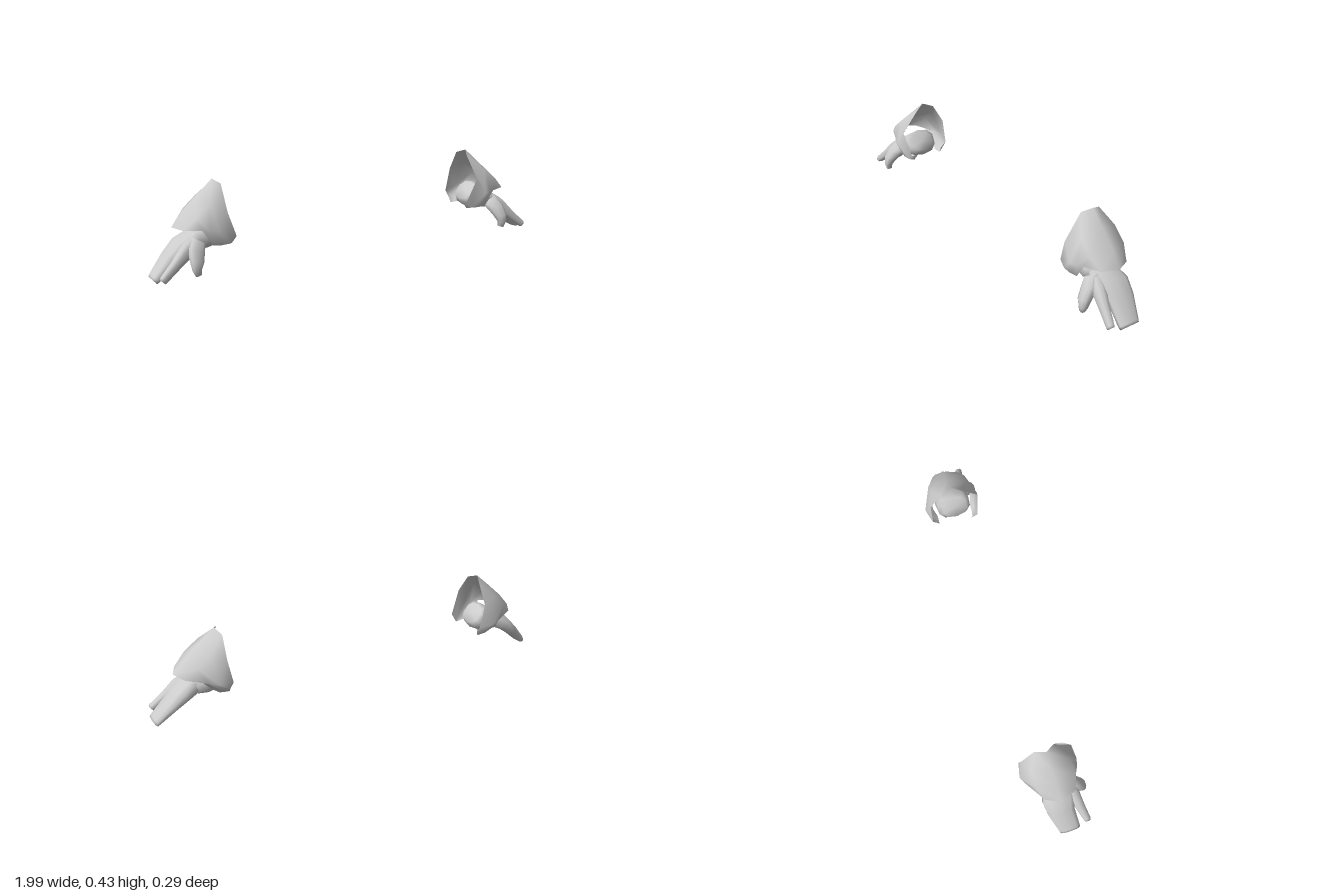
import * as THREE from 'three';

const skin = new THREE.MeshStandardMaterial({ color: 0xcccccc });
const shell = new THREE.MeshStandardMaterial({ color: 0xcccccc, side: THREE.DoubleSide });
const SIDES = 10;

// Smooth mesh; side = -1 mirrors it across x and flips the winding
function makeMesh(name, points, index, side, material) {
  const geo = new THREE.BufferGeometry();
  geo.setAttribute('position', new THREE.Float32BufferAttribute(points.flatMap(([x, y, z]) => [x * side, y, z]), 3));
  const tris = index.slice();
  if (side < 0) for (let i = 0; i < tris.length; i += 3) [tris[i + 1], tris[i + 2]] = [tris[i + 2], tris[i + 1]];
  geo.setIndex(tris);
  geo.computeVertexNormals();
  const mesh = new THREE.Mesh(geo, material);
  mesh.name = name;
  return mesh;
}

// Capped loft; each section is [x, y, z, half thickness, half width along z]
function loft(name, sections, side) {
  const points = [], index = [], last = sections.length - 1;
  sections.forEach(([x, y, z, thick, wide], i) => {
    const a = sections[Math.max(i - 1, 0)], b = sections[Math.min(i + 1, last)];
    const t = new THREE.Vector2(b[0] - a[0], b[1] - a[1]).normalize();
    for (let j = 0; j < SIDES; j++) {
      const angle = (j / SIDES) * Math.PI * 2;
      // slightly squared oval
      const c = Math.sign(Math.cos(angle)) * Math.abs(Math.cos(angle)) ** 0.8 * thick;
      const s = Math.sign(Math.sin(angle)) * Math.abs(Math.sin(angle)) ** 0.8 * wide;
      points.push([x - t.y * c, y + t.x * c, z + s]);
    }
  });
  for (let i = 0; i < last; i++) {
    for (let j = 0; j < SIDES; j++) {
      const k = (j + 1) % SIDES, a = i * SIDES + j, b = i * SIDES + k;
      index.push(a, b, a + SIDES, b, b + SIDES, a + SIDES);
    }
  }
  const start = points.length;
  points.push(sections[0].slice(0, 3), sections[last].slice(0, 3));
  for (let j = 0; j < SIDES; j++) {
    const k = (j + 1) % SIDES;
    index.push(start, k, j, start + 1, last * SIDES + j, last * SIDES + k);
  }
  return makeMesh(name, points, index, side, skin);
}

// Flared cuff: rows run from the elbow rim to the wrist rim,
// each from the front flap over the crest to the back flap
const CUFF_ROWS = [
  [[.612, .185, .062], [.62, .182, .096], [.666, .3, .114], [.66, .41, .027], [.685, .427, -.018],
    [.665, .408, -.068], [.668, .31, -.127], [.645, .195, -.128], [.648, .165, -.1]],
  [[.635, .147, .075], [.65, .152, .097], [.715, .225, .127], [.735, .34, .082], [.755, .365, -.014],
    [.735, .34, -.102], [.715, .207, -.147], [.665, .165, -.128], [.655, .138, -.095]],
  [[.665, .147, .08], [.69, .15, .098], [.75, .225, .118], [.8, .285, .088], [.83, .295, -.01],
    [.797, .285, -.1], [.755, .213, -.128], [.695, .16, -.118], [.675, .138, -.093]],
  [[.7, .15, .083], [.73, .153, .094], [.78, .228, .101], [.855, .23, .071], [.884, .232, -.006],
    [.85, .226, -.073], [.79, .222, -.1], [.73, .165, -.104], [.7, .14, -.092]],
];

function cuff(side) {
  const index = [], n = CUFF_ROWS[0].length;
  for (let i = 0; i < CUFF_ROWS.length - 1; i++) {
    for (let j = 0; j < n - 1; j++) {
      const a = i * n + j;
      index.push(a, a + n, a + 1, a + 1, a + n, a + n + 1);
    }
  }
  return makeMesh('cuff', CUFF_ROWS.flat(), index, side, shell);
}

function glove(name, side) {
  const group = new THREE.Group();
  group.name = name;
  group.add(
    cuff(side),
    // Rounded forearm end inside the cuff
    loft('wrist', [[.677, .22, -.003, .05, .062], [.695, .205, -.003, .066, .084],
      [.76, .178, -.003, .055, .086], [.8, .158, 0, .038, .06]], side),
    // Back of the hand running into the joined outer fingers
    loft('palmAndFingers', [[.752, .195, .008, .03, .052], [.785, .175, .006, .042, .07],
      [.848, .142, -.004, .038, .078], [.9, .096, -.007, .029, .065],
      [.975, .02, .011, .02, .052], [.984, .011, .012, .016, .049]], side),
    loft('indexFinger', [[.79, .17, .045, .034, .035], [.842, .138, .066, .034, .032],
      [.9, .086, .083, .024, .024], [.962, .034, .101, .018, .018], [.969, .027, .102, .015, .016]], side),
    loft('thumb', [[.785, .178, .05, .036, .04], [.806, .142, .081, .04, .04],
      [.816, .1, .116, .032, .029], [.821, .065, .128, .021, .019], [.814, .04, .128, .014, .013]], side),
  );
  return group;
}

export function createModel() {
  const model = new THREE.Group();
  model.name = 'glovePair';
  model.add(glove('leftGlove', 1), glove('rightGlove', -1));
  return model;
}
